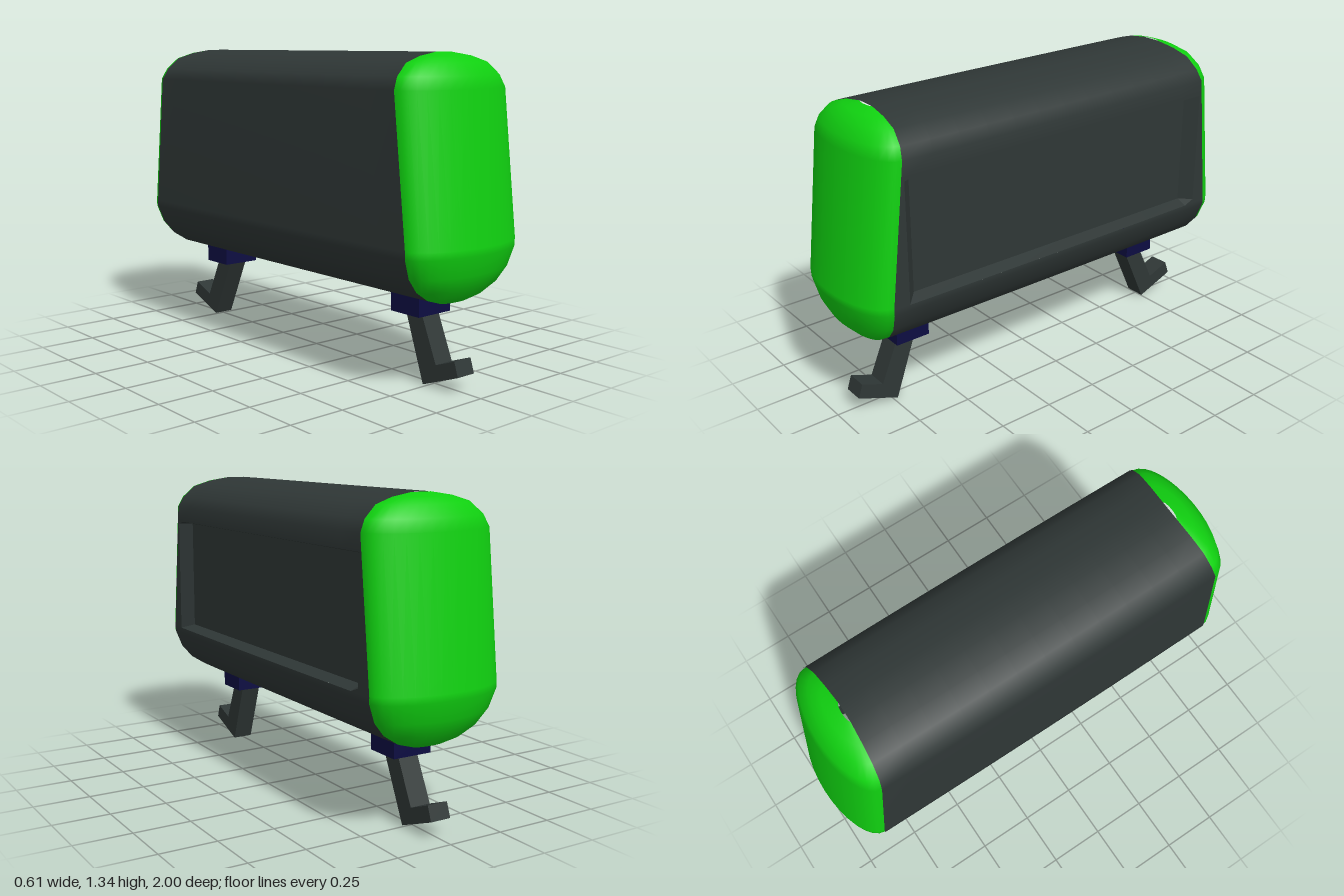
import * as THREE from 'three';

const casing = new THREE.MeshStandardMaterial({ color: 0x2f3736 });
casing.name = 'charcoal';
const green = new THREE.MeshStandardMaterial({ color: 0x10d010 });
green.name = 'bright green';
const navy = new THREE.MeshStandardMaterial({ color: 0x0d0d42 });
navy.name = 'navy';

// Height, half width, z of the casing's end, z of the cap's centre line
const profile = [
  [0.363, 0.07, 0.84, 0.84],
  [0.363, 0.08, 0.845, 0.87],
  [0.385, 0.15, 0.85, 0.905],
  [0.43, 0.22, 0.857, 0.948],
  [0.49, 0.27, 0.865, 0.978],
  [0.57, 0.3, 0.873, 0.998],
  [0.6, 0.3, 0.873, 1.0],
  [1.2, 0.3, 0.805, 0.925],
  [1.25, 0.275, 0.795, 0.912],
  [1.3, 0.22, 0.785, 0.875],
  [1.325, 0.14, 0.777, 0.835],
  [1.34, 0.045, 0.77, 0.78],
];
const endZ = (y) => THREE.MathUtils.mapLinear(y, 0.6, 1.2, 0.873, 0.805);
const bulge = (u) => 1 + 0.015 * (1 - u * u);

// Surface through rows of points
function gridSurface(rows) {
  const n = rows[0].length;
  const index = [];
  for (let i = 0; i < rows.length - 1; i++) {
    for (let j = 0; j < n - 1; j++) {
      const a = i * n + j;
      const d = a + n;
      index.push(a, a + 1, d + 1, a, d + 1, d);
    }
  }
  const g = new THREE.BufferGeometry();
  g.setAttribute('position', new THREE.Float32BufferAttribute(rows.flat(2), 3));
  g.setIndex(index);
  g.computeVertexNormals();
  return g;
}

function addMesh(parent, name, geometry, material) {
  const mesh = new THREE.Mesh(geometry, material);
  mesh.name = name;
  parent.add(mesh);
  return mesh;
}

// Casing shell, running round from the lower to the upper edge of the recess
function casingGeometry() {
  const side = profile.slice(1);
  const ring = [
    [0.3, 0.595, endZ(0.595)],
    ...side.filter((p) => p[0] < 0.59).reverse().map(([y, w, e]) => [w, y, e]),
    ...side.map(([y, w, e]) => [-w, y, e]),
    ...side.filter((p) => p[0] > 1.13).reverse().map(([y, w, e]) => [w, y, e]),
    [0.3, 1.13, endZ(1.13)],
  ];
  return gridSurface(ring.map(([x, y, e]) => {
    const row = [];
    for (let j = 0; j <= 12; j++) {
      const u = j / 6 - 1;
      row.push([x * bulge(u), y, u * e]);
    }
    return row;
  }));
}

// Recessed side panel with bevelled edges
function panelGeometry() {
  const heights = [1.13, 1.118, 0.615, 0.595];
  const rows = heights.map((y, i) => {
    const e = endZ(y);
    const columns = [-e, -0.8, -0.75, -0.5, -0.25, 0, 0.25, 0.5, 0.75, 0.8, e];
    return columns.map((z) => {
      const sunk = i > 0 && i < 3 && Math.abs(z) < 0.76;
      return [sunk ? 0.25 : 0.3 * bulge(z / e), y, z];
    });
  });
  const g = gridSurface(rows).toNonIndexed();
  g.computeVertexNormals();
  return g;
}

// Rounded end cap, bowed outward across its width
function capGeometry() {
  const steps = 16;
  return gridSurface(profile.map(([y, w, e, c]) => {
    const row = [[-w * 0.988, y, e - 0.01]];
    for (let j = 0; j <= steps; j++) {
      const t = (j / steps - 0.5) * Math.PI;
      row.push([w * 0.988 * Math.sin(t), y, e + (c - e) * Math.cos(t)]);
    }
    row.push([w * 0.988, y, e - 0.01]);
    return row;
  }));
}

// Bent leg from a [z, y] outline
function legGeometry(outline) {
  const shape = new THREE.Shape(outline.map(([z, y]) => new THREE.Vector2(-z, y)));
  const g = new THREE.ExtrudeGeometry(shape, { depth: 0.094, bevelEnabled: false });
  g.translate(0, 0, -0.047);
  g.rotateY(Math.PI / 2);
  return g;
}

export function createModel() {
  const model = new THREE.Group();
  model.name = 'model';

  addMesh(model, 'casing', casingGeometry(), casing);
  addMesh(model, 'recessedPanel', panelGeometry(), casing);

  addMesh(model, 'frontCap', capGeometry(), green);
  addMesh(model, 'backCap', capGeometry(), green).rotation.y = Math.PI;

  // Legs with their mounting blocks
  const legs = {
    front: [[0.62, 0.3], [0.715, 0.3], [0.8, 0.097], [0.9, 0.135], [0.92, 0.073], [0.73, 0]],
    back: [[-0.61, 0.3], [-0.705, 0.3], [-0.803, 0.097], [-0.912, 0.14], [-0.935, 0.078], [-0.747, 0.005]],
  };
  // The front outline leans the other way, so its shank is placed by its own corners
  legs.front[0] = [0.625, 0.3];
  for (const [name, outline] of Object.entries(legs)) {
    const block = addMesh(model, name + 'Mount', new THREE.BoxGeometry(0.182, 0.09, 0.16), navy);
    block.position.set(0, 0.333, name === 'front' ? 0.665 : -0.665);
    addMesh(model, name + 'Leg', legGeometry(outline), casing);
  }
  return model;
}
